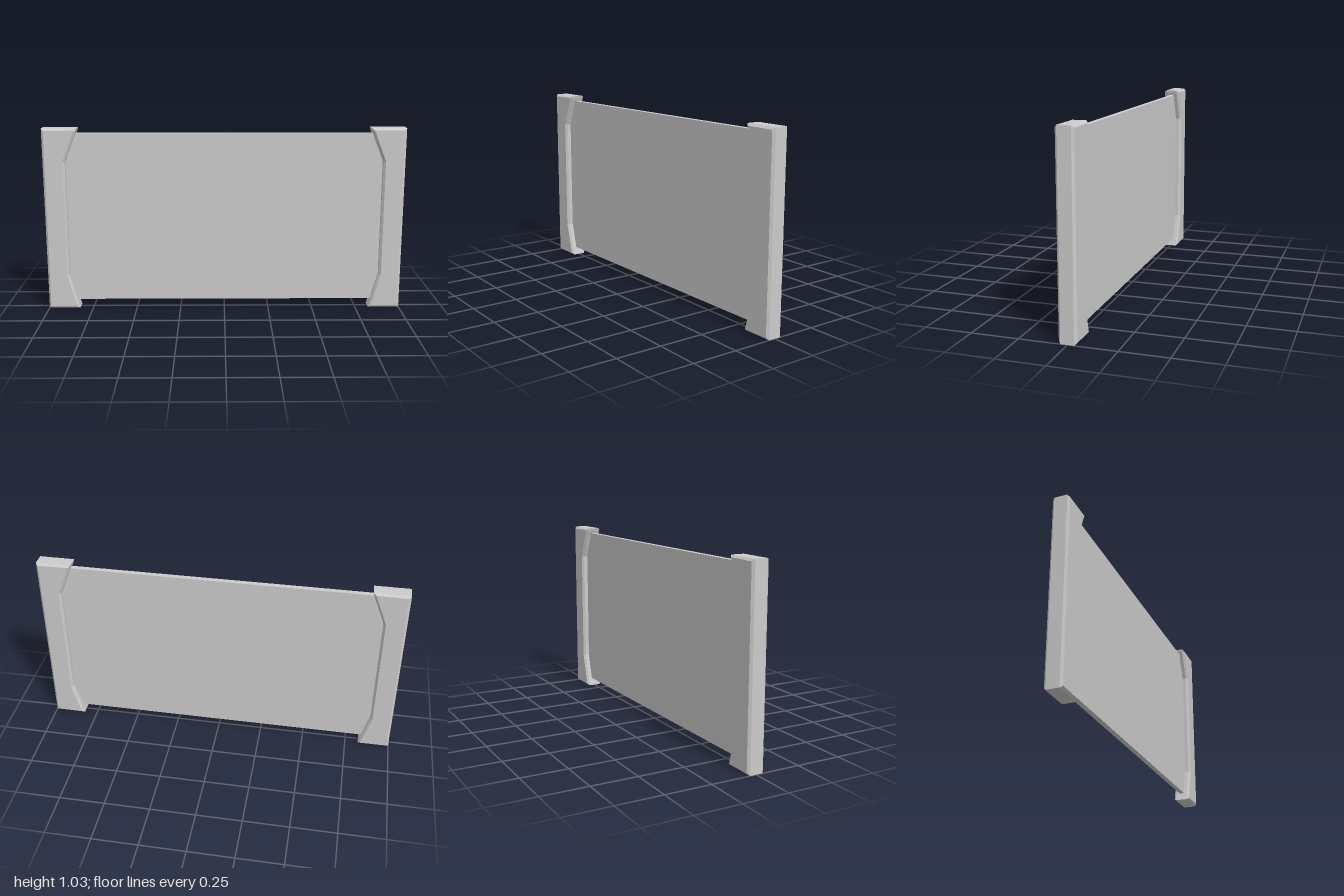
import * as THREE from 'three';

export function createModel() {
  const group = new THREE.Group();
  const material = new THREE.MeshStandardMaterial({ color: 0xcccccc, flatShading: true });

  // Thin flat panel held between the posts
  const bottom = 0.045, top = 1.0;
  const panel = new THREE.Mesh(new THREE.BoxGeometry(1.8, top - bottom, 0.028), material);
  panel.name = 'panel';
  panel.position.y = (top + bottom) / 2;
  group.add(panel);

  // End post: straight outer edge, inner edge flaring at head and foot
  const outline = new THREE.Shape([
    [1, 0], [1, 1.03], [0.807, 1.03], [0.812, 1.012],
    [0.878, 0.845], [0.878, 0.195], [0.825, 0],
  ].map(([x, y]) => new THREE.Vector2(x, y)));

  // Chamfer cut inside the outline so the outer size stays exact
  const bevel = 0.012, depth = 0.094;
  const postGeometry = new THREE.ExtrudeGeometry(outline, {
    depth: depth - 2 * bevel,
    bevelThickness: bevel,
    bevelSize: bevel,
    bevelOffset: -bevel,
    bevelSegments: 1,
  });
  postGeometry.translate(0, 0, bevel - depth / 2);

  // The post is symmetric in z, so a half turn gives the opposite one
  for (const [name, angle] of [['leftPost', 0], ['rightPost', Math.PI]]) {
    const post = new THREE.Mesh(postGeometry, material);
    post.name = name;
    post.rotation.y = angle;
    group.add(post);
  }

  return group;
}
